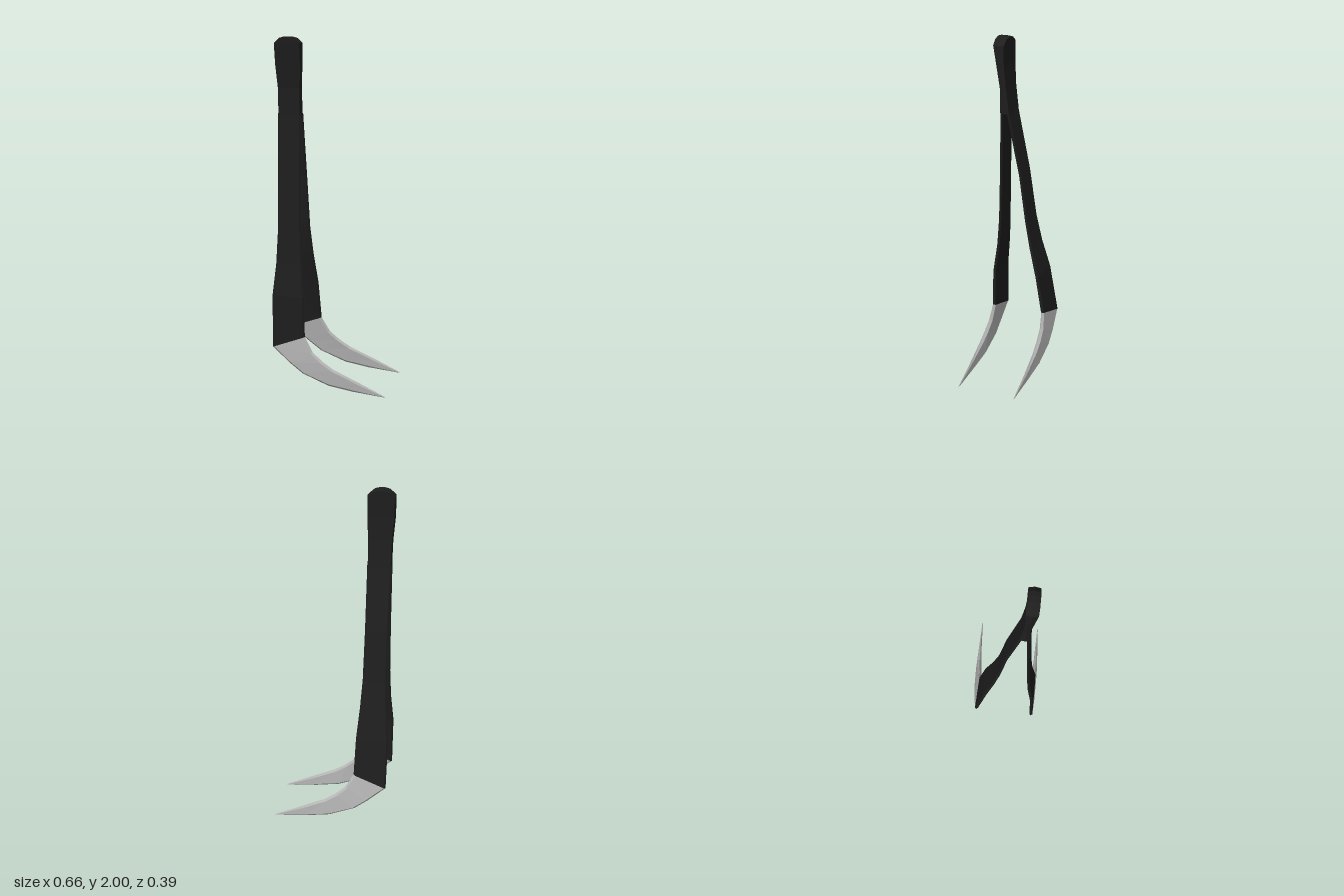
import * as THREE from 'three';

// Lofts six-sided bevelled sections, listed from top to bottom.
// Section: { l:[x,y,z], r:[x,y,z], t: thickness in z, b: bevel width }
function loft(sections, material, name) {
  const pos = [], index = [], n = 6;
  for (const { l, r, t, b } of sections) {
    const L = new THREE.Vector3(...l), R = new THREE.Vector3(...r);
    const k = Math.min(0.35, b / L.distanceTo(R));
    const Li = L.clone().lerp(R, k), Ri = R.clone().lerp(L, k), h = t / 2;
    pos.push(...L.toArray(), Li.x, Li.y, Li.z + h, Ri.x, Ri.y, Ri.z + h,
      ...R.toArray(), Ri.x, Ri.y, Ri.z - h, Li.x, Li.y, Li.z - h);
  }
  for (let i = 0; i < sections.length - 1; i++) {
    for (let j = 0; j < n; j++) {
      const a = i * n + j, b = i * n + (j + 1) % n;
      index.push(a, a + n, b + n, a, b + n, b);
    }
  }
  const e = (sections.length - 1) * n;
  for (let k = 1; k < n - 1; k++) index.push(0, k, k + 1, e, e + k + 1, e + k);
  const indexed = new THREE.BufferGeometry();
  indexed.setAttribute('position', new THREE.Float32BufferAttribute(pos, 3));
  indexed.setIndex(index);
  const geometry = indexed.toNonIndexed();
  geometry.computeVertexNormals();
  const mesh = new THREE.Mesh(geometry, material);
  mesh.name = name;
  return mesh;
}

// Piecewise linear lookup of z by height, points listed from high to low
function zAt(path, y) {
  for (let i = 0; i < path.length - 1; i++) {
    const [y0, z0] = path[i], [y1, z1] = path[i + 1];
    if (y >= y1) return z0 + (z1 - z0) * Math.min(1, Math.max(0, (y0 - y) / (y0 - y1)));
  }
  return path[path.length - 1][1];
}

// Outline of a grip: left x, left y, right x, right y, thickness
const GRIP = [
  [-0.3, 1.58, -0.165, 1.58, 0.014], [-0.3, 1.2, -0.168, 1.2, 0.014],
  [-0.303, 0.9, -0.165, 0.9, 0.015], [-0.311, 0.73, -0.156, 0.73, 0.016],
  [-0.328, 0.55, -0.142, 0.55, 0.017], [-0.327, 0.25, -0.136, 0.32, 0.019],
];
// Outline of a blade: outer edge, inner edge, thickness
const BLADE = [
  [-0.327, 0.25, -0.136, 0.32, 0.019], [-0.225, 0.162, -0.09, 0.235, 0.024],
  [-0.15, 0.105, -0.035, 0.187, 0.025], [0, 0.045, 0.03, 0.145, 0.023],
  [0.14, 0.022, 0.18, 0.078, 0.014], [0.33, 0.004, 0.328, 0.01, 0.004],
];
const FRONT = [[1.58, 0.14], [0.9, 0.152], [0.73, 0.16], [0.55, 0.18], [0.32, 0.181], [0.15, 0.184], [0, 0.174]];
const BACK = [[1.58, 0.102], [1.2, 0.022], [0.9, -0.022], [0.73, -0.06], [0.55, -0.11], [0.35, -0.146], [0.2, -0.173], [0.1, -0.187], [0.03, -0.191]];

export function createModel() {
  const black = new THREE.MeshStandardMaterial({ color: 0x1e1e1e });
  black.name = 'black grip';
  const steel = new THREE.MeshStandardMaterial({ color: 0xb4b4b4 });
  steel.name = 'steel';
  const group = new THREE.Group();
  group.name = 'tweezers';

  // Joined head: left x, right x, height, front z, back z
  const head = [
    [-0.25, -0.215, 2, 0.186, 0.12], [-0.28, -0.185, 1.992, 0.186, 0.12],
    [-0.311, -0.154, 1.965, 0.184, 0.12], [-0.311, -0.156, 1.85, 0.166, 0.12],
    [-0.302, -0.163, 1.72, 0.149, 0.111], [-0.3, -0.165, 1.57, 0.149, 0.093],
  ];
  group.add(loft(head.map(([xl, xr, y, f, k]) => {
    const z = (f + k) / 2;
    return { l: [xl, y, z], r: [xr, y, z], t: f - k, b: 0.006 };
  }), black, 'head'));

  // Two arms; the back one splays away and its end rises a little
  for (const [side, path, rise] of [['front', FRONT, 0], ['back', BACK, 0.034]]) {
    const lift = (y) => y + rise * Math.min(1, (1.58 - y) / 1.3);
    const place = (rows, b) => rows.map(([xl, yl, xr, yr, t]) => {
      const a = lift(yl), c = lift(yr);
      return { l: [xl, a, zAt(path, a)], r: [xr, c, zAt(path, c)], t, b };
    });
    group.add(loft(place(GRIP, 0.008), black, side + 'Grip'));
    group.add(loft(place(BLADE, 0.012), steel, side + 'Blade'));
  }
  return group;
}
